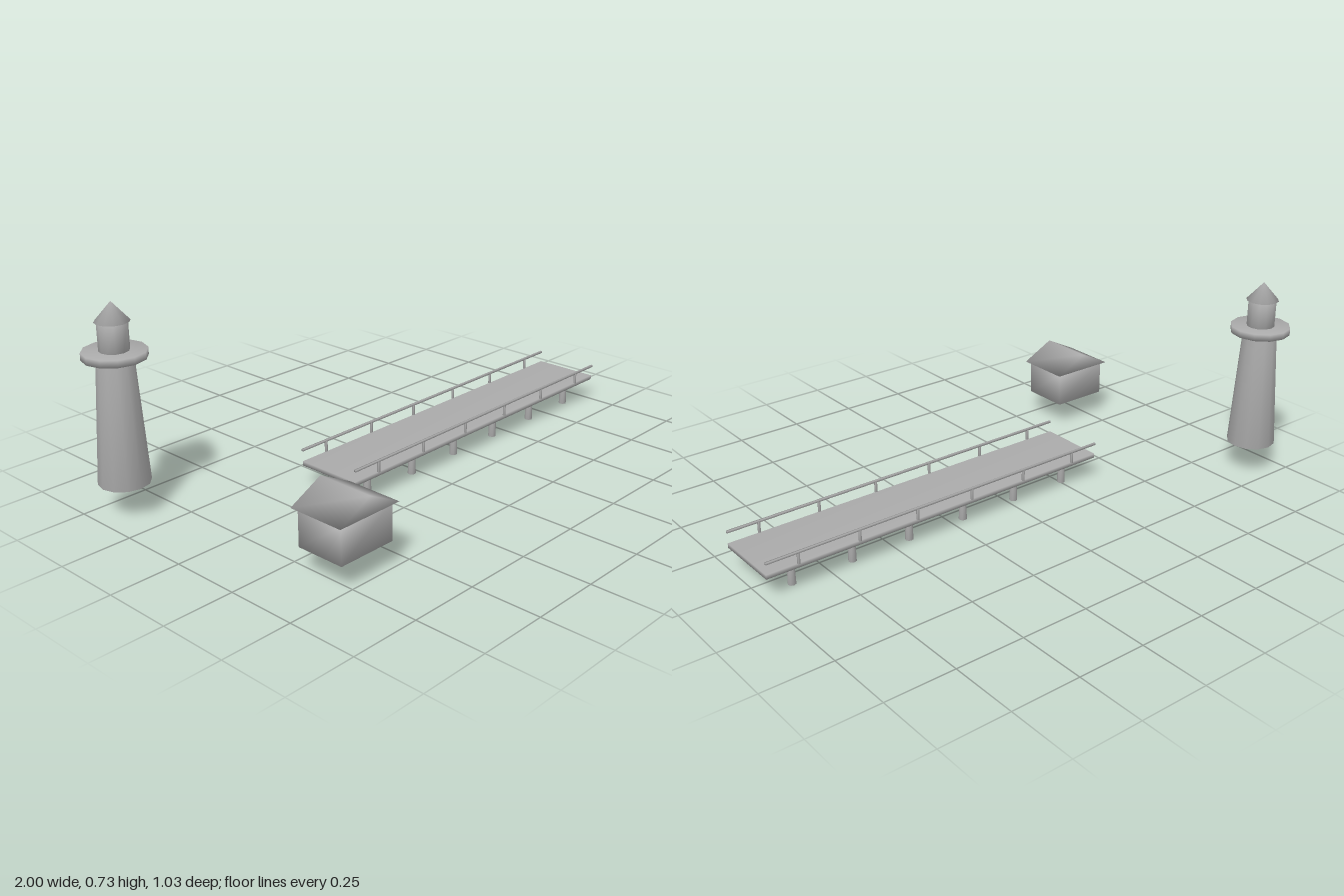
import * as THREE from 'three';
import { mergeVertices } from 'three/addons/utils/BufferGeometryUtils.js';

const stone = new THREE.MeshStandardMaterial({ color: 0xaaaaaa });
stone.name = 'plain grey';

// Weld shared corners so the shading runs smoothly over the whole part
function soften(geometry) {
  geometry.deleteAttribute('normal');
  geometry.deleteAttribute('uv');
  const welded = mergeVertices(geometry, 1e-4);
  welded.computeVertexNormals();
  return welded;
}

function add(parent, name, geometry, x, y, z) {
  const mesh = new THREE.Mesh(soften(geometry), stone);
  mesh.name = name;
  mesh.position.set(x, y, z);
  parent.add(mesh);
  return mesh;
}

function addGroup(parent, name) {
  const group = new THREE.Group();
  group.name = name;
  parent.add(group);
  return group;
}

// Round part standing between two heights
function drum(parent, name, rTop, rBottom, y0, y1, sides = 12) {
  return add(parent, name, new THREE.CylinderGeometry(rTop, rBottom, y1 - y0, sides), 0, (y0 + y1) / 2, 0);
}

function buildLighthouse(parent) {
  const g = addGroup(parent, 'lighthouse');
  g.position.set(-0.893, 0, -0.406);
  drum(g, 'tower', 0.061, 0.088, 0.113, 0.546);
  drum(g, 'gallery', 0.107, 0.107, 0.546, 0.571);
  drum(g, 'lanternRoom', 0.05, 0.05, 0.571, 0.667);
  add(g, 'lanternRoof', new THREE.ConeGeometry(0.058, 0.066, 12), 0, 0.7, 0);
}

function buildHut(parent) {
  const g = addGroup(parent, 'hut');
  g.position.set(-0.685, 0, 0.41);
  add(g, 'hutWalls', new THREE.BoxGeometry(0.218, 0.131, 0.18), 0, 0.1585, 0);
  // Gable roof with its ridge running front to back
  const gable = new THREE.Shape([
    new THREE.Vector2(-0.125, 0), new THREE.Vector2(0.125, 0), new THREE.Vector2(0, 0.063),
  ]);
  const roof = new THREE.ExtrudeGeometry(gable, { depth: 0.208, bevelEnabled: false });
  add(g, 'hutRoof', roof, 0, 0.224, -0.104);
}

function buildPier(parent) {
  const g = addGroup(parent, 'pier');
  const midX = 0.315, midZ = 0.015, length = 1.37;
  add(g, 'deck', new THREE.BoxGeometry(length, 0.016, 0.25), midX, 0.092, midZ);
  for (const side of [-1, 1]) {
    const railZ = midZ + side * 0.126;
    add(g, 'handrail', new THREE.BoxGeometry(length, 0.008, 0.007), midX, 0.141, railZ);
    for (let i = 0; i < 6; i++) {
      const x = -0.256 + i * 0.228;
      add(g, 'pile', new THREE.CylinderGeometry(0.0125, 0.0145, 0.086, 8), x, 0.043, midZ + side * 0.071);
      add(g, 'railPost', new THREE.BoxGeometry(0.008, 0.042, 0.007), x, 0.119, railZ);
    }
  }
}

export function createModel() {
  const model = new THREE.Group();
  model.name = 'harbour';
  buildLighthouse(model);
  buildHut(model);
  buildPier(model);
  return model;
}
